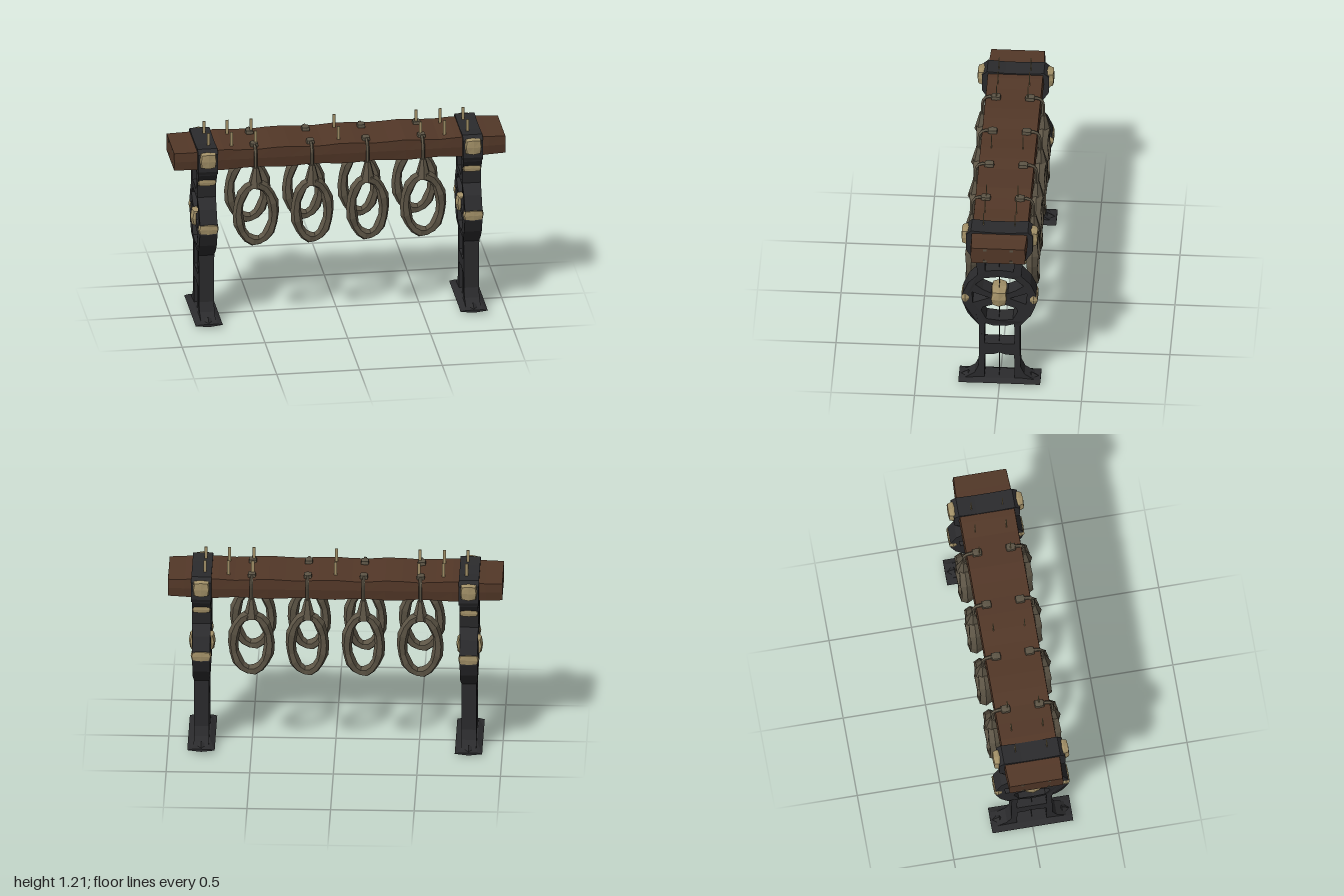
import * as THREE from 'three';

const mat = (name, color, extra = {}) => {
  const m = new THREE.MeshStandardMaterial({ color, flatShading: true, ...extra });
  m.name = name;
  return m;
};

export function createModel() {
  const model = new THREE.Group();
  model.name = 'ropeRack';
  const wood = mat('brown wood', 0x533828);
  const iron = mat('dark iron', 0x2b2b2d);
  const sheet = mat('dark iron sheet', 0x2b2b2d, { side: THREE.DoubleSide });
  const bone = mat('tan fittings', 0xa39168);
  const rope = mat('grey rope', 0x5c5445);

  const add = (parent, name, geo, material, x = 0, y = 0, z = 0) => {
    const m = new THREE.Mesh(geo, material);
    m.name = name;
    m.position.set(x, y, z);
    parent.add(m);
    return m;
  };
  const bend = (geo, rule) => {
    const p = geo.attributes.position, v = new THREE.Vector3();
    for (let i = 0; i < p.count; i++) {
      rule(v.fromBufferAttribute(p, i));
      p.setXYZ(i, v.x, v.y, v.z);
    }
    geo.computeVertexNormals();
    return geo;
  };
  // Mirrors half an outline, listed from bottom to top, across the centre
  const mirrored = half => [...half, ...half.slice().reverse().filter(p => p[0] !== 0).map(([z, y]) => [-z, y])]
    .map(p => new THREE.Vector2(...p));
  // Extrudes a side profile (z, y) along x
  const sidePlate = (outline, holes, depth) => {
    const s = new THREE.Shape(outline);
    holes.forEach(h => s.holes.push(new THREE.Path(h)));
    const g = new THREE.ExtrudeGeometry(s, { depth, bevelEnabled: false });
    return g.translate(0, 0, -depth / 2).rotateY(-Math.PI / 2);
  };
  // Faceted block with its outer x and y edges drawn in
  const lump = (w, h, d) => bend(new THREE.BoxGeometry(w, h, d, 2, 2, 2), v => {
    const corners = (Math.abs(v.x) > w * 0.4) + (Math.abs(v.y) > h * 0.4) + (Math.abs(v.z) > d * 0.4);
    v.multiplyScalar(corners === 3 ? 0.78 : corners === 2 ? 0.9 : 1);
  });

  // Worn beam with drawn-in ends
  add(model, 'beam', bend(new THREE.BoxGeometry(2, 0.12, 0.34, 20, 2, 4), v => {
    const end = Math.abs(v.x) > 0.99;
    if (end) { v.y *= 0.9; v.z *= 0.97; }
    else v.y += 0.005 * Math.sin(v.x * 17 + 1) * Math.sign(v.y);
    if (Math.abs(v.y) > 0.04 && Math.abs(v.z) > 0.15) v.z *= 0.97;
  }), wood, 0, 1.06, 0);

  // Upright frames
  const outline = mirrored([[0.21, 0.035], [0.15, 0.075], [0.125, 0.13], [0.122, 0.43], [0.15, 0.47], [0.19, 0.52],
    [0.22, 0.6], [0.22, 0.67], [0.185, 0.75], [0.13, 0.81], [0.14, 0.9], [0.185, 0.97], [0.195, 1.0]]);
  const holes = [
    mirrored([[0.09, 0.04], [0.088, 0.215], [0.04, 0.215], [0, 0.23]]),
    mirrored([[0, 0.295], [0.09, 0.295], [0.088, 0.445], [0.04, 0.43], [0, 0.43]]),
    mirrored([[0, 0.475], [0.08, 0.485], [0.11, 0.545], [0.1, 0.57], [0.04, 0.59], [0, 0.58]]),
    mirrored([[0, 0.685], [0.05, 0.675], [0.1, 0.7], [0.145, 0.735], [0.09, 0.785], [0, 0.8]]),
    mirrored([[0, 0.85], [0.085, 0.84], [0.09, 0.95], [0.08, 0.97], [0, 0.965]]),
    ...[1, -1].map(s => [[0.16, 0.6], [0.165, 0.68], [0.06, 0.64]].map(([z, y]) => new THREE.Vector2(z * s, y))),
  ];
  const strapOutline = mirrored([[0.19, 0.98], [0.2, 1.0], [0.2, 1.11], [0.17, 1.138], [0.06, 1.13]]);
  const footShape = new THREE.Shape([[-0.082, 0.027], [0, 0.002], [0.082, 0.027], [0.05, 0.045], [-0.05, 0.045]]
    .map(p => new THREE.Vector2(...p)));

  for (const side of [-1, 1]) {
    const upright = new THREE.Group();
    upright.name = side > 0 ? 'leftUpright' : 'rightUpright';
    upright.position.x = side * 0.8;
    model.add(upright);

    add(upright, 'frame', bend(sidePlate(outline, holes, 0.09), v => {
      if (v.y > 0.46) v.x *= v.y > 0.8 ? 1.25 : 1.18;
    }), iron);
    add(upright, 'centreWeb', new THREE.PlaneGeometry(0.08, 0.93), sheet, 0, 0.5, 0.003);
    add(upright, 'beamStrap', sidePlate(strapOutline, [], 0.12), iron);
    const foot = new THREE.ExtrudeGeometry(footShape, { depth: 0.49, steps: 4, bevelEnabled: false }).translate(0, 0, -0.245);
    add(upright, 'foot', bend(foot, v => {
      if (Math.abs(v.z) > 0.2) v.y = 0.025 + (v.y - 0.025) * 0.4;
    }), iron);

    // Tan studs and clamps
    add(upright, 'hubStud', lump(0.16, 0.11, 0.1), bone, 0, 0.64, 0.003);
    for (const z of [-1, 1]) {
      add(upright, 'ringClamp', lump(0.125, 0.065, 0.05), bone, 0, 0.635, z * 0.205);
      add(upright, 'neckClamp', lump(0.115, 0.045, 0.04), bone, 0, 0.915, z * 0.145);
      add(upright, 'strapBoss', lump(0.1, 0.1, 0.06), bone, 0, 1.075, z * 0.2);
      add(upright, 'footCap', new THREE.ConeGeometry(0.05, 0.03, 4), iron, 0, 0.045, z * 0.19);
    }
  }

  // Hanging rope loops with stepped windings, on both sides of the beam
  const loopGeo = halfWidth => {
    const g = new THREE.TorusGeometry(1, 1, 6, 18);
    const p = g.attributes.position, uv = g.attributes.uv;
    for (let i = 0; i < p.count; i++) {
      const a = uv.getX(i) * Math.PI * 2, b = uv.getY(i) * Math.PI * 2;
      const k = Math.round(uv.getX(i) * 18) % 18;
      const fat = 1 + 0.14 * [0, 1, -0.5][k % 3];
      const r = Math.cos(b) * 0.031 * fat;
      p.setXYZ(i, Math.cos(a) * (halfWidth - 0.033 + r), Math.sin(a) * (0.183 + r), Math.sin(b) * 0.038 * fat);
    }
    g.computeVertexNormals();
    return g;
  };
  for (const [x, halfWidth] of [[-0.51, 0.142], [-0.17, 0.132], [0.165, 0.132], [0.5, 0.142]]) {
    for (const s of [-1, 1]) {
      const hanger = new THREE.Group();
      hanger.name = s > 0 ? 'frontRope' : 'backRope';
      hanger.position.set(x, 0, s * 0.182);
      model.add(hanger);
      add(hanger, 'loop', loopGeo(halfWidth), rope, 0, 0.718, 0);
      // Winding at the head of the loop, tapering upwards
      add(hanger, 'winding', new THREE.CylinderGeometry(0.018, 0.05, 0.12, 7, 2), rope, 0, 0.945, 0);
      // Cord over the edge of the beam, ending in a knot on top
      const path = new THREE.CatmullRomCurve3([[0, 0.96, 0], [0, 1.02, 0], [0, 1.1, -0.006 * s], [0, 1.125, -0.03 * s], [0, 1.122, -0.085 * s]]
        .map(p => new THREE.Vector3(...p)));
      add(hanger, 'cord', new THREE.TubeGeometry(path, 10, 0.011, 5), rope);
      add(hanger, 'knot', lump(0.05, 0.035, 0.06), rope, 0, 1.122, -0.08 * s);
    }
  }

  // Upright pegs along the top
  for (const x of [-0.785, -0.645, -0.5, 0, 0.495, 0.64, 0.78])
    for (const z of [0.1, -0.09]) add(model, 'peg', new THREE.BoxGeometry(0.018, 0.1, 0.005), bone, x, 1.16, z);

  // Nail heads on the beam ends
  for (const x of [-1, 1])
    for (const z of [-0.08, 0.08])
      for (const y of [1.02, 1.1]) add(model, 'nailHead', new THREE.BoxGeometry(0.006, 0.015, 0.02), rope, x * 0.998, y, z);

  return model;
}
